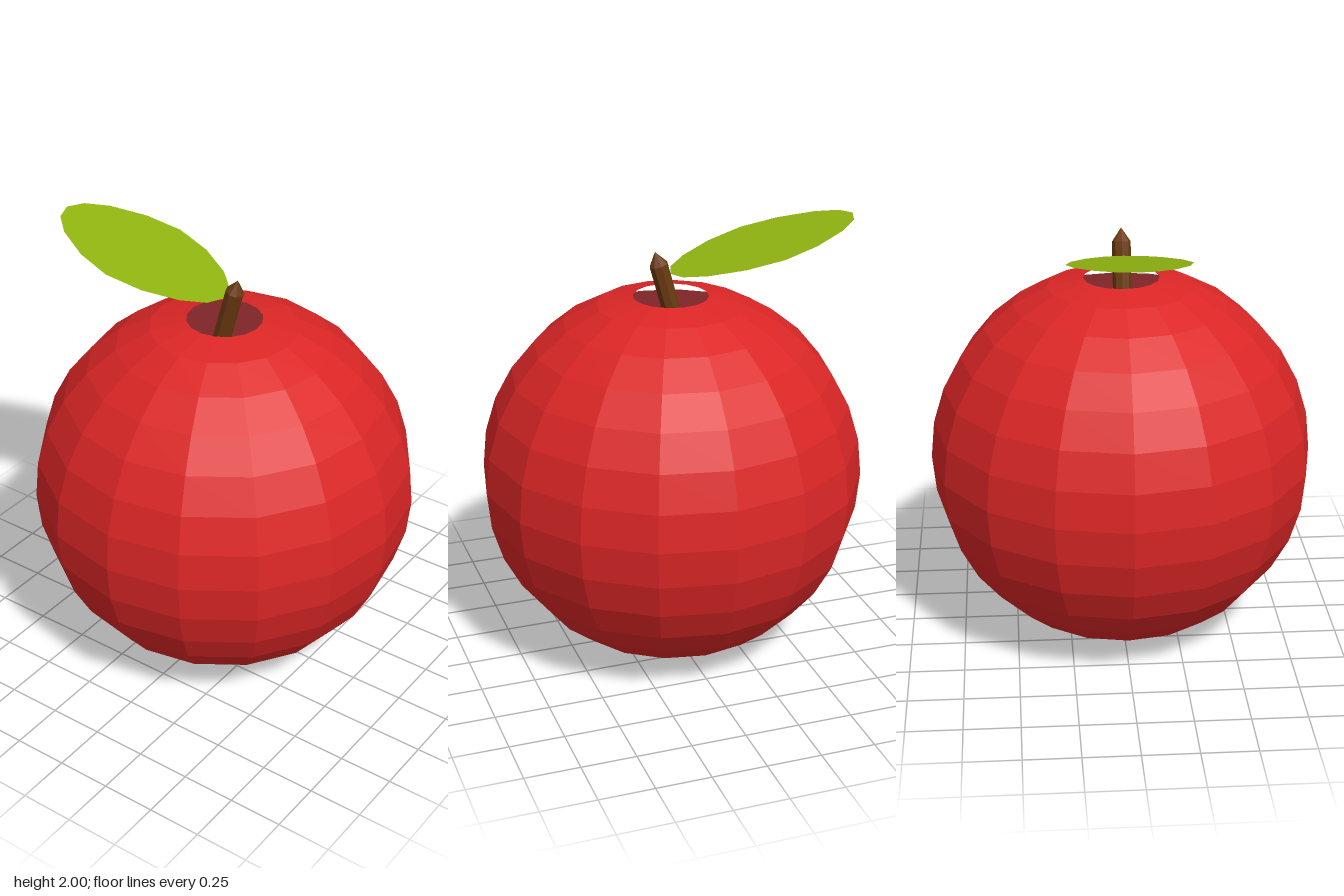
import * as THREE from 'three';

const flatColour = (name, hex) => {
  const m = new THREE.MeshStandardMaterial({ color: hex });
  m.name = name;
  return m;
};

// Separate the faces so each gets its own flat normal
function faceted(geometry) {
  const g = geometry.index ? geometry.toNonIndexed() : geometry;
  g.computeVertexNormals();
  return g;
}

export function createModel() {
  const red = flatColour('apple red', 0xdc2626);
  const darkRed = flatColour('hollow dark red', 0x7f2426);
  const brown = flatColour('stem brown', 0x6b3a10);
  const green = flatColour('leaf green', 0x8fb310);
  green.side = THREE.DoubleSide;

  const group = new THREE.Group();
  group.name = 'apple';
  const add = (name, geometry, material) => {
    const mesh = new THREE.Mesh(geometry, material);
    mesh.name = name;
    group.add(mesh);
    return mesh;
  };

  // Body: faceted sphere, open and slightly flattened at both poles
  const step = Math.PI / 16;
  const bodyGeo = new THREE.SphereGeometry(0.88, 16, 14, 0, Math.PI * 2, step, step * 14);
  const pos = bodyGeo.attributes.position;
  for (let i = 0; i < pos.count; i++) {
    pos.setY(i, THREE.MathUtils.clamp(pos.getY(i), -0.85, 0.85));
  }
  add('body', faceted(bodyGeo), red).position.y = 0.85;

  // Hollows: dark floors sunk behind the openings
  for (const [name, side] of [['topHollow', 1], ['bottomHollow', -1]]) {
    const floor = add(name, new THREE.CircleGeometry(0.45, 16), darkRed);
    floor.rotation.x = -side * Math.PI / 2;
    floor.position.y = 0.85 + side * 0.73;
  }

  // Stem: pointed rod leaning forward
  const stemProfile = [[0, 0], [0.042, 0], [0.042, 0.363], [0, 0.425]]
    .map(([r, y]) => new THREE.Vector2(r, y));
  const stem = add('stem', faceted(new THREE.LatheGeometry(stemProfile, 8)), brown);
  stem.position.set(-0.004, 1.5, -0.04);
  stem.rotation.x = 0.27;

  // Leaf: flat blade rising to the back, [half width, distance along]
  const half = [[0.085, 0.03], [0.165, 0.12], [0.24, 0.275], [0.272, 0.45],
    [0.24, 0.62], [0.165, 0.78], [0.085, 0.87]];
  const outline = [[0, 0], ...half, [0, 0.902], ...half.map(([x, y]) => [-x, y]).reverse()]
    .map(([x, y]) => new THREE.Vector2(x, y));
  const leaf = add('leaf', new THREE.ShapeGeometry(new THREE.Shape(outline)), green);
  leaf.position.set(-0.006, 1.8, 0);
  leaf.rotation.x = -Math.PI / 2 + Math.atan2(0.2, 0.88);

  return group;
}
